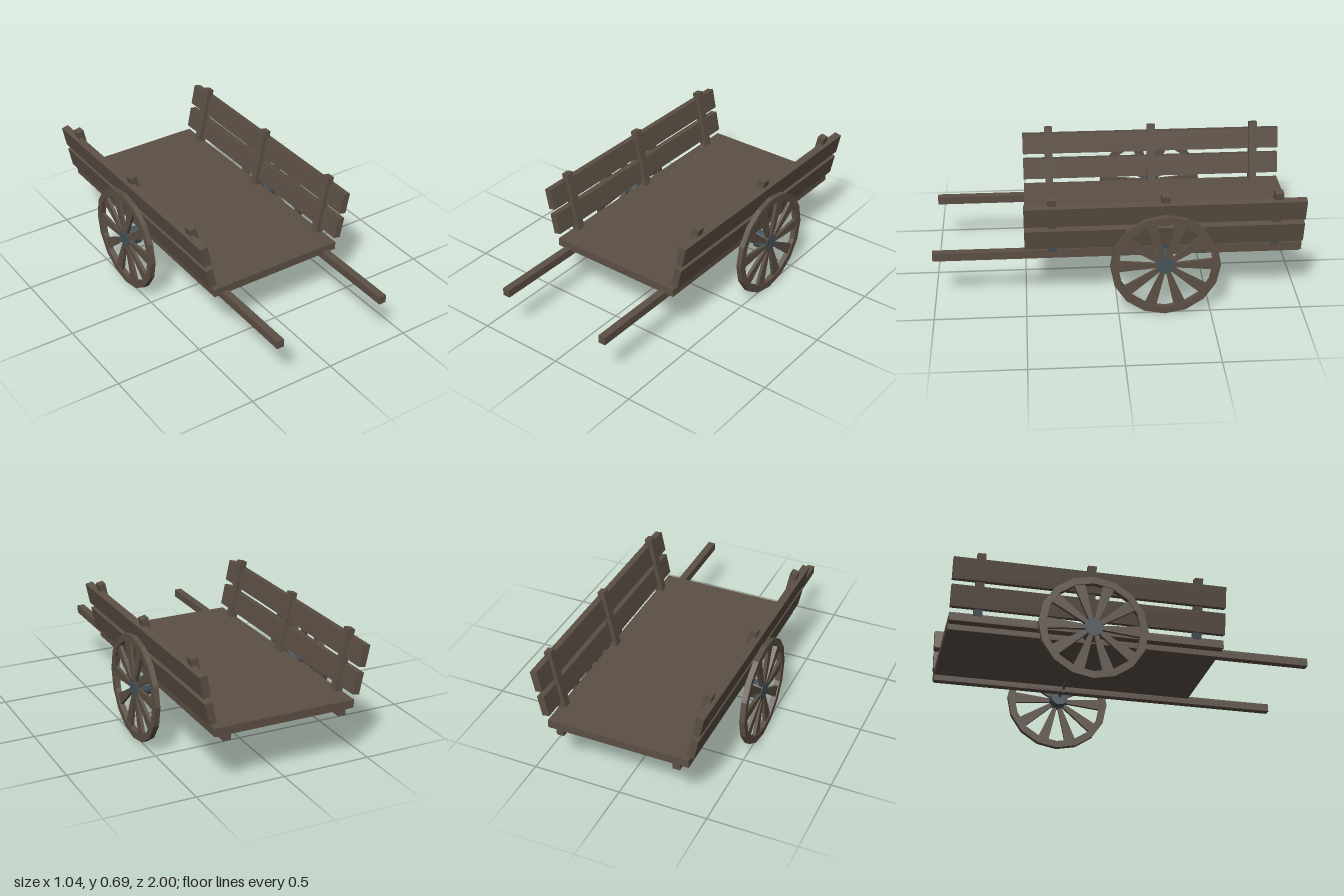
import * as THREE from 'three';

const wood = new THREE.MeshStandardMaterial({ color: 0x5c5045, flatShading: true });
wood.name = 'weathered wood';
const iron = new THREE.MeshStandardMaterial({ color: 0x47545b, flatShading: true });
iron.name = 'iron';

function add(parent, name, geometry, material, x = 0, y = 0, z = 0) {
  const mesh = new THREE.Mesh(geometry, material);
  mesh.name = name;
  mesh.position.set(x, y, z);
  parent.add(mesh);
  return mesh;
}
const box = (w, h, d) => new THREE.BoxGeometry(w, h, d);

// Flat spoke that widens from the hub to the rim
function spokeGeometry() {
  const s = new THREE.Shape();
  s.moveTo(0.03, -0.01);
  s.lineTo(0.262, -0.032);
  s.lineTo(0.262, 0.032);
  s.lineTo(0.03, 0.01);
  return new THREE.ExtrudeGeometry(s, { depth: 0.018, bevelEnabled: false }).translate(0, 0, -0.009);
}

// Sixteen-sided rim with a vertex at the top
function rimGeometry() {
  const ring = (Path, r) => {
    const points = [];
    for (let i = 0; i < 16; i++) {
      const a = (i / 16) * Math.PI * 2;
      points.push(new THREE.Vector2(r * Math.cos(a), r * Math.sin(a)));
    }
    return new Path(points);
  };
  const shape = ring(THREE.Shape, 0.297);
  shape.holes.push(ring(THREE.Path, 0.257));
  return new THREE.ExtrudeGeometry(shape, { depth: 0.03, bevelEnabled: false }).translate(0, 0, -0.015);
}

function createWheel(side) {
  const wheel = new THREE.Group();
  wheel.name = side > 0 ? 'leftWheel' : 'rightWheel';
  add(wheel, 'rim', rimGeometry(), wood);
  const spoke = spokeGeometry();
  for (let i = 0; i < 10; i++) {
    add(wheel, 'spoke', spoke, wood).rotation.z = (i / 10) * Math.PI * 2;
  }
  // Hub reaches inward to the axle
  const hub = new THREE.CylinderGeometry(0.05, 0.05, 0.088, 16).rotateX(Math.PI / 2);
  add(wheel, 'hub', hub, iron, 0, 0, -0.033);
  wheel.rotation.y = side * Math.PI / 2;
  wheel.position.set(side * 0.503, 0.297, -0.25);
  return wheel;
}

// Leaning side wall: two planks on three posts
function createWall(side) {
  const wall = new THREE.Group();
  wall.name = side > 0 ? 'leftWall' : 'rightWall';
  for (const y of [0.094, 0.245]) {
    add(wall, 'sidePlank', box(0.041, 0.12, 1.5), wood, side * 0.0215, y, -0.25);
  }
  for (const z of [0.35, -0.25, -0.85]) {
    add(wall, 'post', box(0.04, 0.345, 0.046), wood, 0, 0.1725, z);
    add(wall, 'postBracket', box(0.01, 0.045, 0.046), iron, side * 0.0205, 0.02, z);
  }
  wall.position.set(side * 0.381, 0.352, 0);
  wall.rotation.z = -side * 0.202;
  return wall;
}

export function createModel() {
  const cart = new THREE.Group();
  cart.name = 'handCart';
  add(cart, 'deck', box(0.8, 0.046, 1.5), wood, 0, 0.332, -0.25);
  const axle = new THREE.CylinderGeometry(0.008, 0.008, 0.88, 12).rotateZ(Math.PI / 2);
  add(cart, 'axle', axle, iron, 0, 0.3, -0.25);
  for (const side of [-1, 1]) {
    add(cart, 'shaft', box(0.042, 0.045, 2), wood, side * 0.331, 0.299, 0);
    cart.add(createWall(side), createWheel(side));
  }
  return cart;
}
